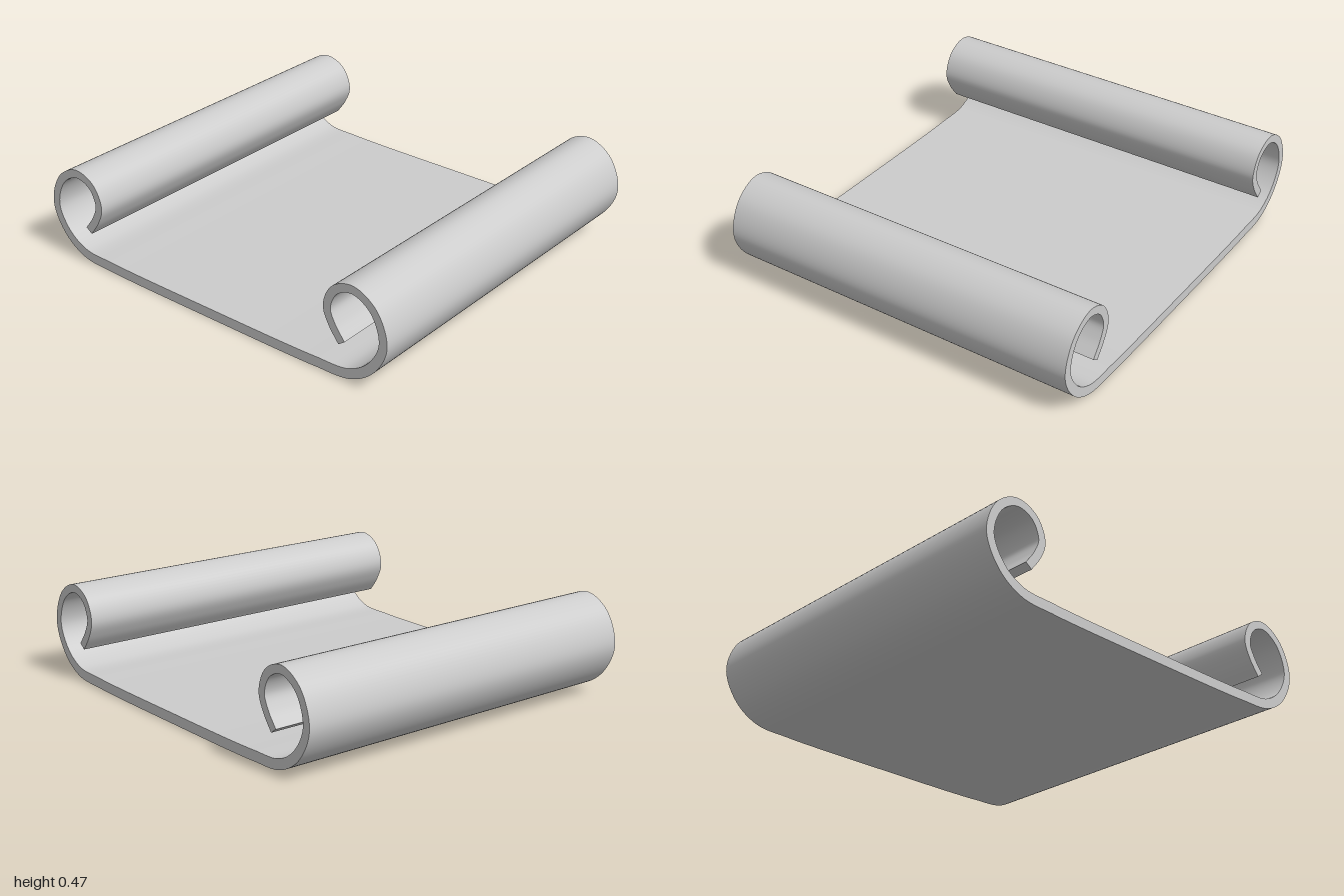
import * as THREE from 'three';
import { toCreasedNormals } from 'three/addons/utils/BufferGeometryUtils.js';

const DEPTH = 1.81;

// Right half of the sheet's centre line, from the flat floor to the curled tip
const HALF = [
  [0.25, 0.025], [0.45, 0.026], [0.62, 0.03], [0.8, 0.044], [0.915, 0.118], [0.978, 0.25],
  [0.927, 0.394], [0.82, 0.454], [0.724, 0.418], [0.683, 0.325], [0.71, 0.25], [0.762, 0.178],
];

export function createModel() {
  const group = new THREE.Group();

  // Mirror the half profile into one continuous curve
  const points = [
    ...HALF.map(([x, y]) => new THREE.Vector3(-x, y, 0)).reverse(),
    new THREE.Vector3(0, 0.025, 0),
    ...HALF.map(([x, y]) => new THREE.Vector3(x, y, 0)),
  ];
  const curve = new THREE.CatmullRomCurve3(points, false, 'centripetal');

  // Offset the curve to both sides; the sheet thins slightly towards the tips
  const steps = 240;
  const upper = [], lower = [];
  for (let i = 0; i <= steps; i++) {
    const u = i / steps;
    const p = curve.getPointAt(u), t = curve.getTangentAt(u);
    const half = 0.025 - 0.005 * THREE.MathUtils.smoothstep(Math.abs(u - 0.5) * 2, 0.35, 0.75);
    upper.push(new THREE.Vector2(p.x - t.y * half, p.y + t.x * half));
    lower.push(new THREE.Vector2(p.x + t.y * half, Math.max(0, p.y - t.x * half)));
  }
  const shape = new THREE.Shape([...lower, ...upper.reverse()]);

  // Extrude from front to back, smooth along the curl with sharp rims
  const geometry = new THREE.ExtrudeGeometry(shape, { depth: DEPTH, bevelEnabled: false });
  geometry.translate(0, 0, -DEPTH / 2);
  const sheet = new THREE.Mesh(
    toCreasedNormals(geometry, Math.PI / 5),
    new THREE.MeshStandardMaterial({ color: 0xcccccc }),
  );
  sheet.name = 'curledSheet';
  group.add(sheet);
  return group;
}
